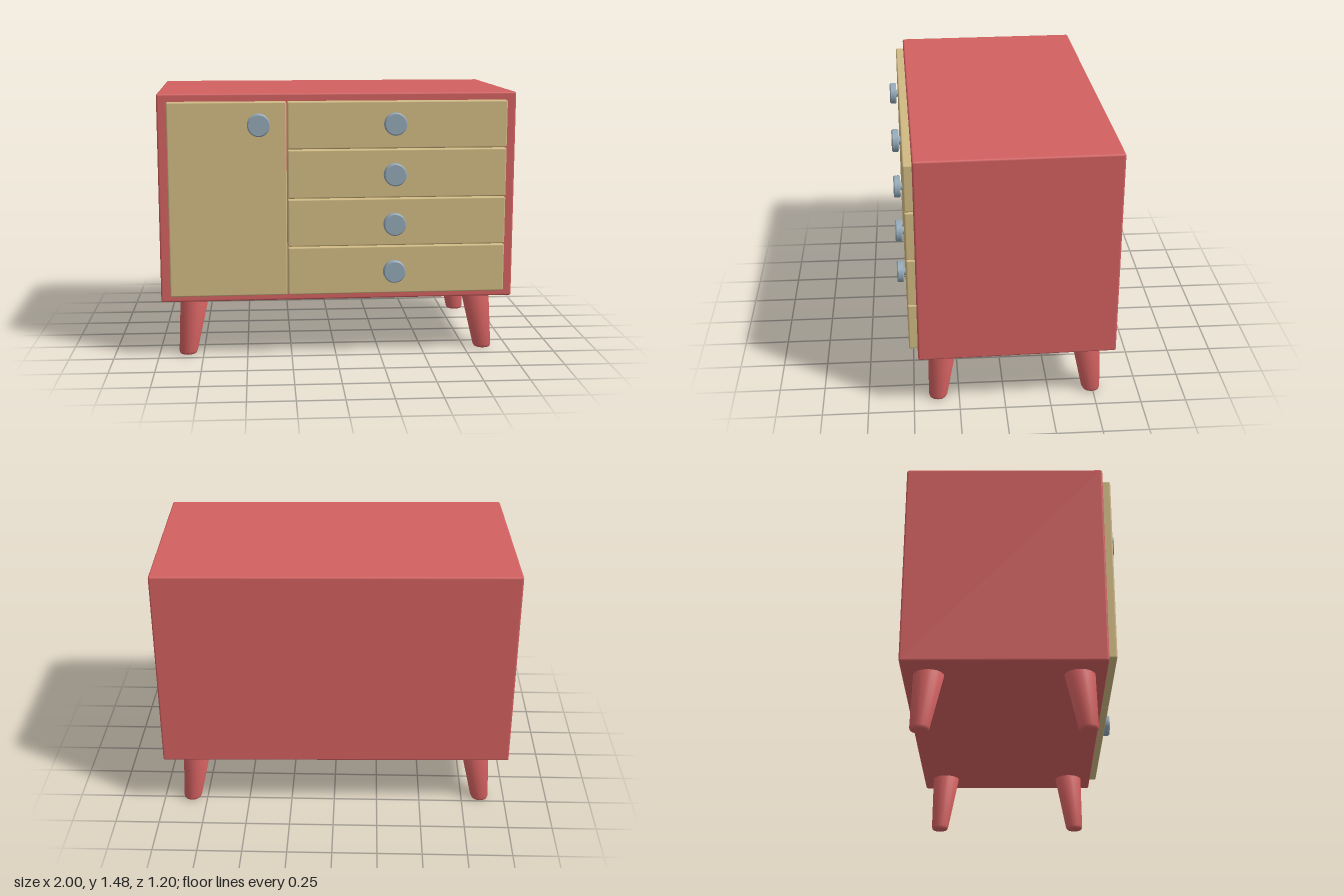
import * as THREE from 'three';
import { RoundedBoxGeometry } from 'three/addons/geometries/RoundedBoxGeometry.js';

const red = new THREE.MeshStandardMaterial({ color: 0xd26060 });
red.name = 'red paint';
const tan = new THREE.MeshStandardMaterial({ color: 0xd0b982 });
tan.name = 'tan wood';
const steel = new THREE.MeshStandardMaterial({ color: 0x92a7b5 });
steel.name = 'blue grey metal';

const points = (list) => list.map(([x, y]) => new THREE.Vector2(x, y));

// Box with eased edges, given by its limits on each axis
function easedBox(name, material, [x0, x1], [y0, y1], [z0, z1], radius) {
  const geometry = new RoundedBoxGeometry(x1 - x0, y1 - y0, z1 - z0, 2, radius);
  const mesh = new THREE.Mesh(geometry, material);
  mesh.position.set((x0 + x1) / 2, (y0 + y1) / 2, (z0 + z1) / 2);
  mesh.name = name;
  return mesh;
}

// Tapered leg, sheared so that it splays outward to the floor
function leg(sx, sz) {
  const profile = points([[0, 0], [0.036, 0], [0.046, 0.004], [0.052, 0.018], [0.082, 0.335], [0, 0.335]]);
  const geometry = new THREE.LatheGeometry(profile, 20);
  const p = geometry.attributes.position;
  for (let i = 0; i < p.count; i++) {
    const drop = 1 - p.getY(i) / 0.33;
    p.setX(i, p.getX(i) + sx * (0.806 + 0.043 * drop));
    p.setZ(i, p.getZ(i) + sz * (0.393 + 0.037 * drop));
  }
  const mesh = new THREE.Mesh(geometry, red);
  mesh.name = (sz > 0 ? 'front' : 'back') + (sx > 0 ? 'Left' : 'Right') + 'Leg';
  return mesh;
}

// Disc knob on a short stem, facing forward
function knob(name, x, y) {
  const profile = points([
    [0, 0], [0.022, 0], [0.022, 0.012], [0.056, 0.012], [0.0625, 0.018],
    [0.0625, 0.044], [0.056, 0.051], [0, 0.051],
  ]);
  // Double the corners so that faces stay crisp
  const crisp = profile.flatMap((v, i) => (i > 0 && i < profile.length - 1 ? [v, v.clone()] : [v]));
  const geometry = new THREE.BufferGeometry().copy(new THREE.LatheGeometry(crisp, 32));
  geometry.computeVertexNormals();
  const mesh = new THREE.Mesh(geometry, steel);
  mesh.rotation.x = Math.PI / 2;
  mesh.position.set(x, y, 0.579);
  mesh.name = name;
  return mesh;
}

export function createModel() {
  const cabinet = new THREE.Group();
  cabinet.name = 'cabinet';

  cabinet.add(easedBox('body', red, [-0.988, 0.988], [0.326, 1.484], [-0.535, 0.535], 0.011));

  // Door on one side, four drawers on the other
  const depth = [0.515, 0.581];
  cabinet.add(easedBox('door', tan, [-0.934, -0.287], [0.367, 1.441], depth, 0.008));
  cabinet.add(knob('doorKnob', -0.439, 1.318));

  const edges = [1.441, 1.179, 0.906, 0.637, 0.367];
  const knobHeights = [1.318, 1.04, 0.763, 0.497];
  knobHeights.forEach((y, i) => {
    const span = [edges[i + 1] + (i < 3 ? 0.002 : 0), edges[i] - (i > 0 ? 0.002 : 0)];
    cabinet.add(easedBox('drawer' + (i + 1), tan, [-0.282, 0.931], span, depth, 0.008));
    cabinet.add(knob('drawerKnob' + (i + 1), 0.306, y));
  });

  for (const sx of [-1, 1]) for (const sz of [-1, 1]) cabinet.add(leg(sx, sz));

  // The whole cabinet stands turned a little
  cabinet.rotation.y = 0.0228;
  cabinet.position.z = -0.0425;

  const model = new THREE.Group();
  model.name = 'sideboard';
  model.add(cabinet);
  return model;
}
